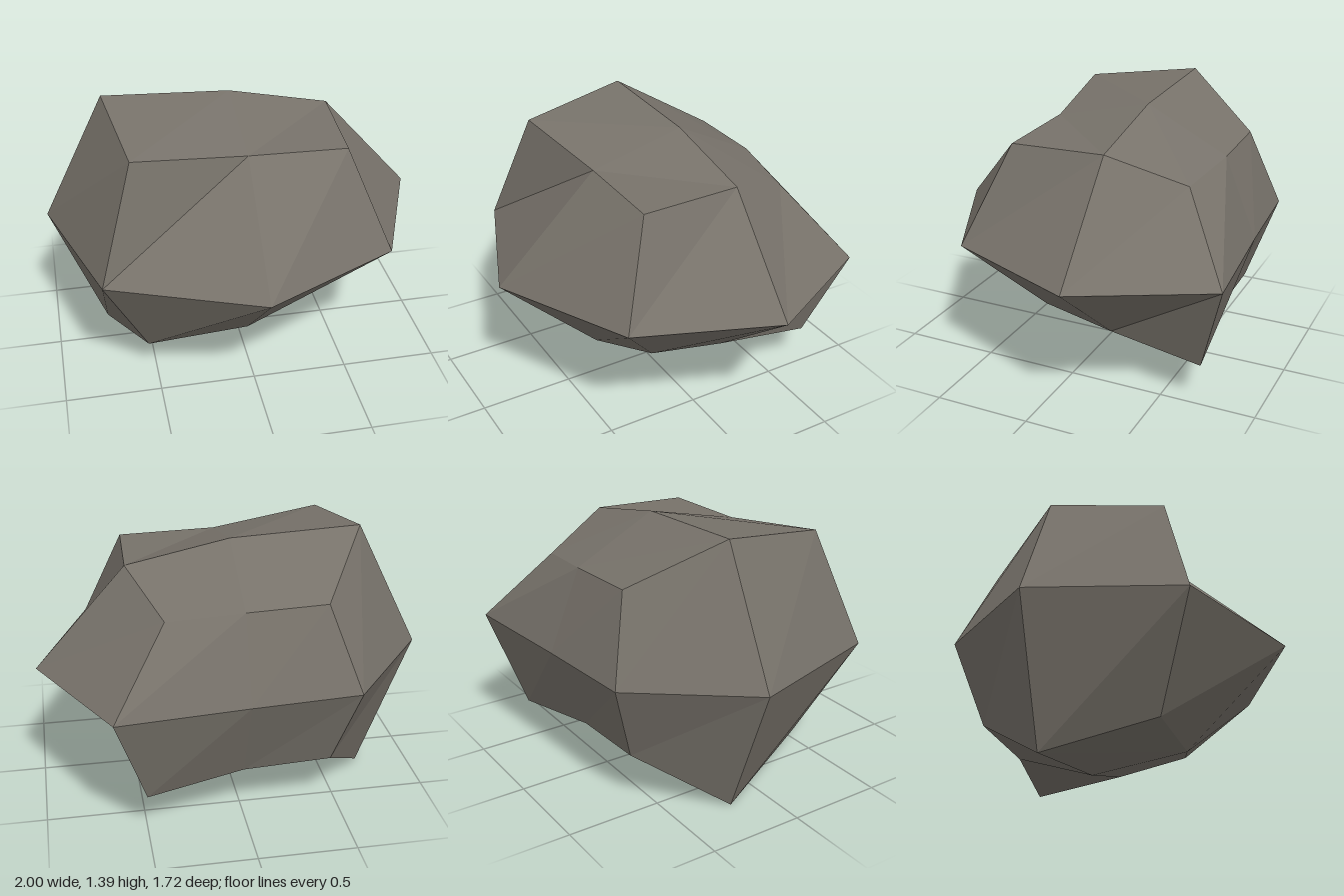
import * as THREE from 'three';

// Each layer is a 3 x 3 grid of points: rows run back to front, columns from -x to +x.
const LAYERS = [
  // underside
  [
    [[-0.45, 0.29, -0.62], [0, 0.27, -0.62], [0.5, 0.22, -0.71]],
    [[-0.72, 0, -0.2], [0, 0.13, -0.2], [0.45, 0.27, -0.2]],
    [[-0.54, 0.18, 0.34], [0, 0.2, 0.32], [0.4, 0.32, 0.2]],
  ],
  // widest ring (its centre point lies inside and is unused)
  [
    [[-0.56, 0.72, -0.76], [0, 0.72, -0.8], [0.66, 0.72, -0.86]],
    [[-1, 0.72, -0.2], [0, 0.72, -0.2], [1, 0.72, -0.2]],
    [[-0.77, 0.72, 0.56], [0, 0.72, 0.86], [0.71, 0.72, 0.51]],
  ],
  // top
  [
    [[-0.41, 1.15, -0.62], [0, 1.14, -0.63], [0.38, 1.1, -0.58]],
    [[-0.67, 1.39, -0.2], [0, 1.36, -0.2], [0.53, 1.25, -0.2]],
    [[-0.59, 1.31, 0.39], [0, 1.24, 0.31], [0.51, 1.23, 0.31]],
  ],
];

export function createModel() {
  const stone = new THREE.MeshStandardMaterial({ color: 0x77726a, flatShading: true });
  stone.name = 'stone grey';

  // A box of 2 x 2 x 2 segments whose lattice points move to the rock's corners.
  const box = new THREE.BoxGeometry(2, 2, 2, 2, 2, 2);
  const pos = box.attributes.position;
  for (let i = 0; i < pos.count; i++) {
    const col = Math.round(pos.getX(i)) + 1;
    const layer = Math.round(pos.getY(i)) + 1;
    const row = Math.round(pos.getZ(i)) + 1;
    pos.setXYZ(i, ...LAYERS[layer][row][col]);
  }
  const geometry = box.toNonIndexed();
  geometry.computeVertexNormals();

  const rock = new THREE.Mesh(geometry, stone);
  rock.name = 'rock';

  const group = new THREE.Group();
  group.name = 'boulder';
  group.add(rock);
  return group;
}
